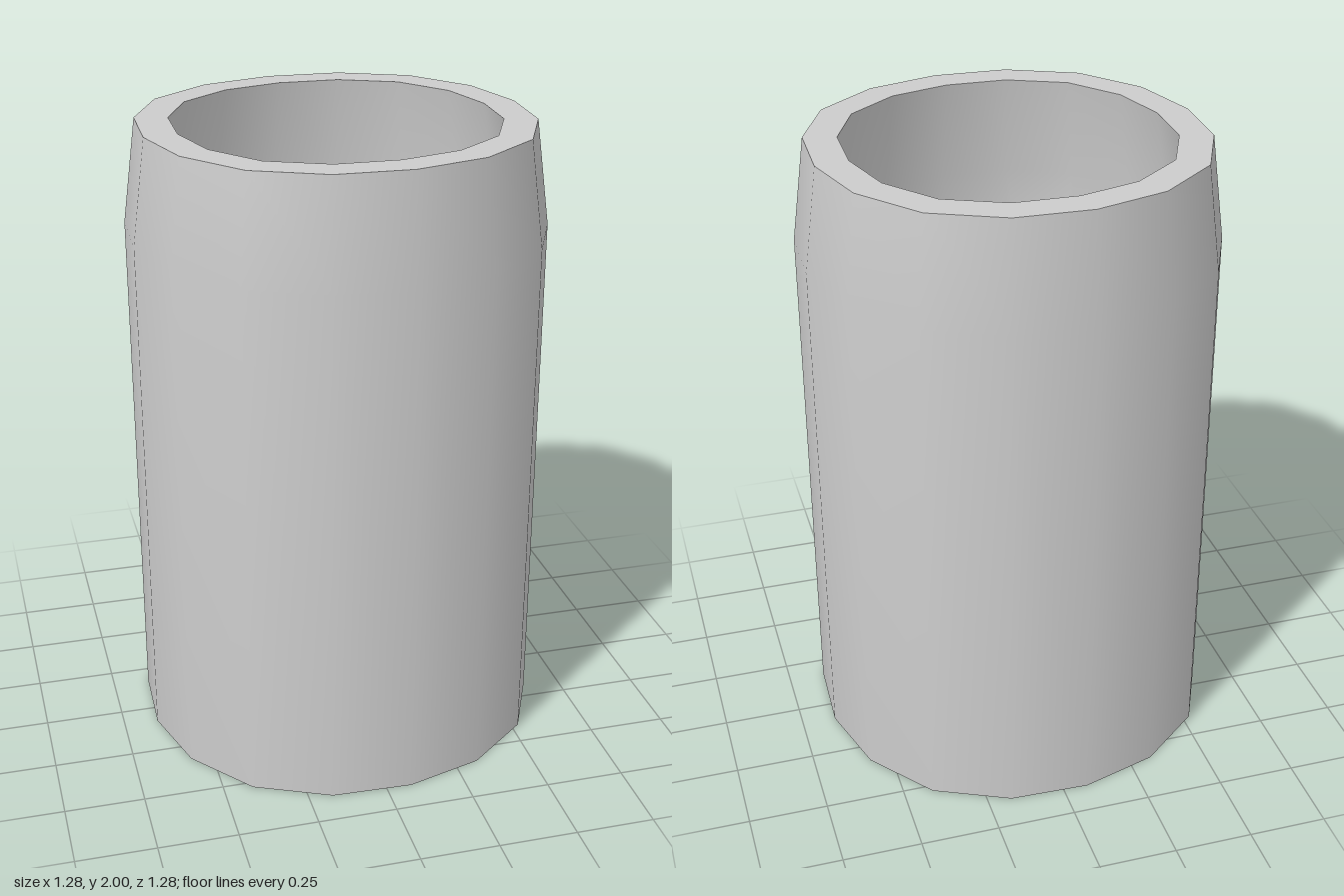
import * as THREE from 'three';
import { toCreasedNormals } from 'three/addons/utils/BufferGeometryUtils.js';

const SIDES = 16;
const TWIST = THREE.MathUtils.degToRad(7.1); // slight turn of the polygon about y
const BULGE = 0.019; // the outline swells a little on its four diagonals

export function createModel() {
  const group = new THREE.Group();
  group.name = 'hollowCylinder';
  const material = new THREE.MeshStandardMaterial({ color: 0xcccccc, side: THREE.DoubleSide });

  // Each profile is a smooth band; edges between bands stay sharp
  const band = (name, profile) => {
    const points = profile.map(([r, y]) => new THREE.Vector2(r, y));
    const geometry = new THREE.LatheGeometry(points, SIDES, TWIST);
    const pos = geometry.attributes.position;
    for (let i = 0; i < pos.count; i++) {
      const x = pos.getX(i), z = pos.getZ(i), r = Math.hypot(x, z);
      if (r < 0.01) continue;
      const k = 1 + BULGE * Math.sin(2 * (Math.atan2(x, z) - TWIST)) ** 2 / r;
      pos.setXYZ(i, x * k, pos.getY(i), z * k);
    }
    const mesh = new THREE.Mesh(toCreasedNormals(geometry, Math.PI), material);
    mesh.name = name;
    group.add(mesh);
  };

  // Straight wall with a tapered shoulder
  band('outerWall', [[0.646, 0], [0.646, 1.67], [0.602, 2]]);
  // Flat ring around the mouth
  band('topRim', [[0.602, 2], [0.498, 2]]);
  // Cavity widens below the mouth and runs smoothly into the floor
  band('cavity', [[0.498, 2], [0.55, 1.67], [0.575, 0.15], [0, 0.15]]);
  // Flared skirt under the floor
  band('baseSkirt', [[0.575, 0.15], [0.646, 0]]);

  return group;
}
